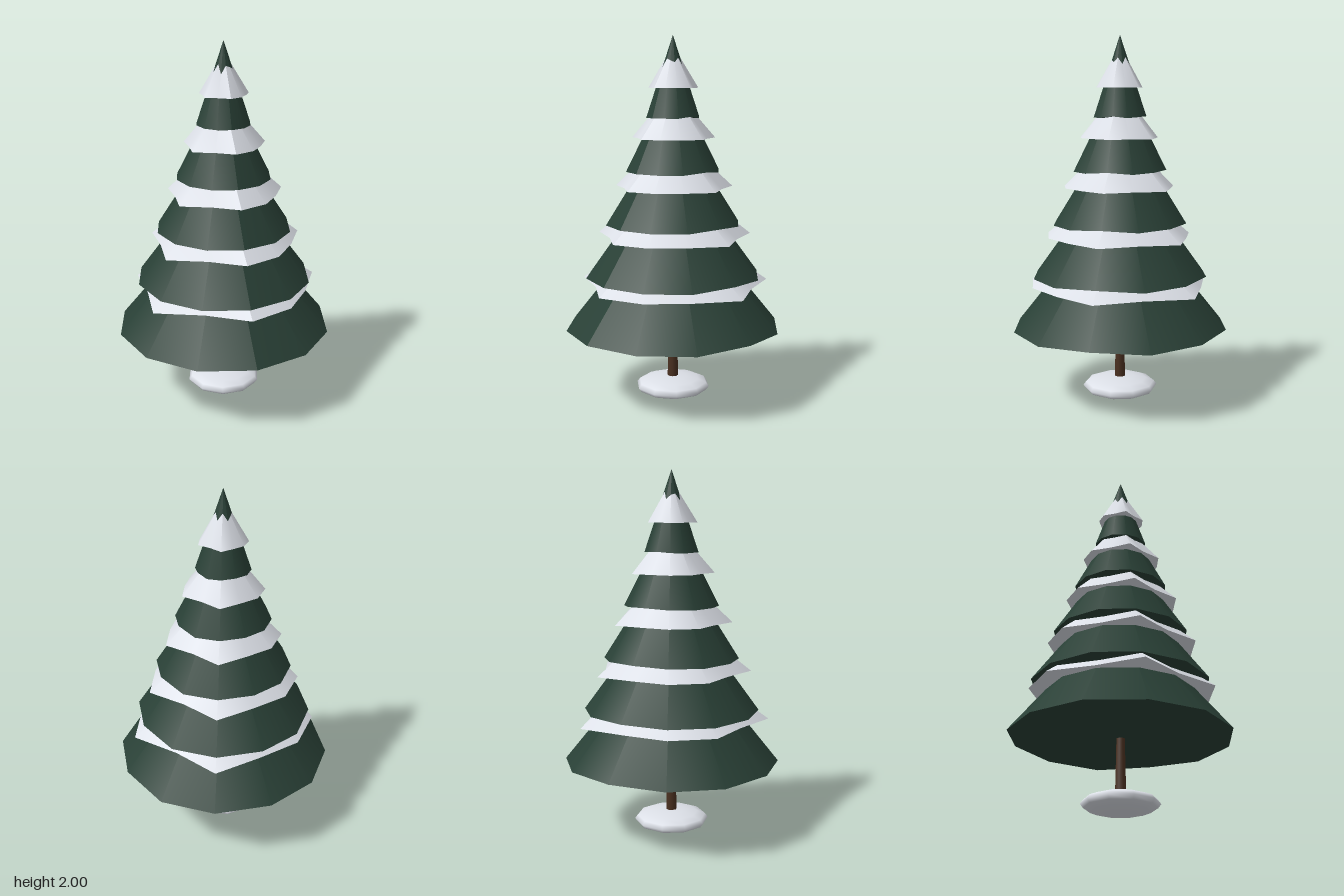
import * as THREE from 'three';

const SIDES = 12;
// Rim variation per corner, counted anticlockwise from +x (seen from above)
const SNOW_RADIUS = [1, 0.83, 1.01, 0.845, 0.915, 0.94, 0.81, 1, 0.8, 0.955, 0.91, 0.865];
const BOUGH_LIFT = [0.015, 0, 0.008, 0.015, 0.005, 0, 0.003, 0, 0, 0, 0, 0];

// Cone standing on y = 0 whose rim corners are scaled outwards and lifted
function unevenCone(radius, height, scaleAt, liftAt) {
  const geo = new THREE.ConeGeometry(radius, height, SIDES, 1);
  geo.translate(0, height / 2, 0);
  const p = geo.attributes.position;
  for (let i = 0; i < p.count; i++) {
    const x = p.getX(i), z = p.getZ(i);
    if (Math.hypot(x, z) < 1e-4) continue;
    const turn = Math.round(Math.atan2(-z, x) / (2 * Math.PI) * SIDES);
    const k = (turn + SIDES) % SIDES;
    p.setXYZ(i, x * scaleAt(k), p.getY(i) + liftAt(k), z * scaleAt(k));
  }
  geo.computeVertexNormals();
  return geo;
}

export function createModel() {
  const tree = new THREE.Group();
  tree.name = 'snowyFirTree';

  const material = (name, color) => {
    const m = new THREE.MeshStandardMaterial({ color });
    m.name = name;
    return m;
  };
  const needles = material('dark green needles', 0x294036);
  const snow = material('snow white', 0xeef2fa);
  const bark = material('brown bark', 0x4a3020);

  const add = (name, geo, mat, y) => {
    const mesh = new THREE.Mesh(geo, mat);
    mesh.name = name;
    mesh.position.y = y;
    tree.add(mesh);
    return mesh;
  };

  // Mound of snow and trunk
  add('snowMound', new THREE.SphereGeometry(0.207, 10, 8), snow, 0.055).scale.y = 0.265;
  add('trunk', new THREE.CylinderGeometry(0.022, 0.031, 0.4, 8), bark, 0.25);

  // Five tiers of boughs, each with an uneven snow skirt around its upper part
  const snowRadii = [0.54, 0.44, 0.335, 0.235, 0.14];
  const snowHeights = [0.385, 0.35, 0.31, 0.27, 0.225];
  for (let i = 0; i < 5; i++) {
    const boughs = unevenCone(0.597 - 0.1125 * i, 0.74 - 0.075 * i, () => 1, k => BOUGH_LIFT[k] * (1 - 0.1 * i));
    add('boughTier' + (i + 1), boughs, needles, 0.4 + 0.29 * i);
    const skirt = unevenCone(snowRadii[i], snowHeights[i], k => SNOW_RADIUS[k], () => 0);
    add('snowSkirt' + (i + 1), skirt, snow, 0.64 + 0.27 * i);
  }
  return tree;
}
